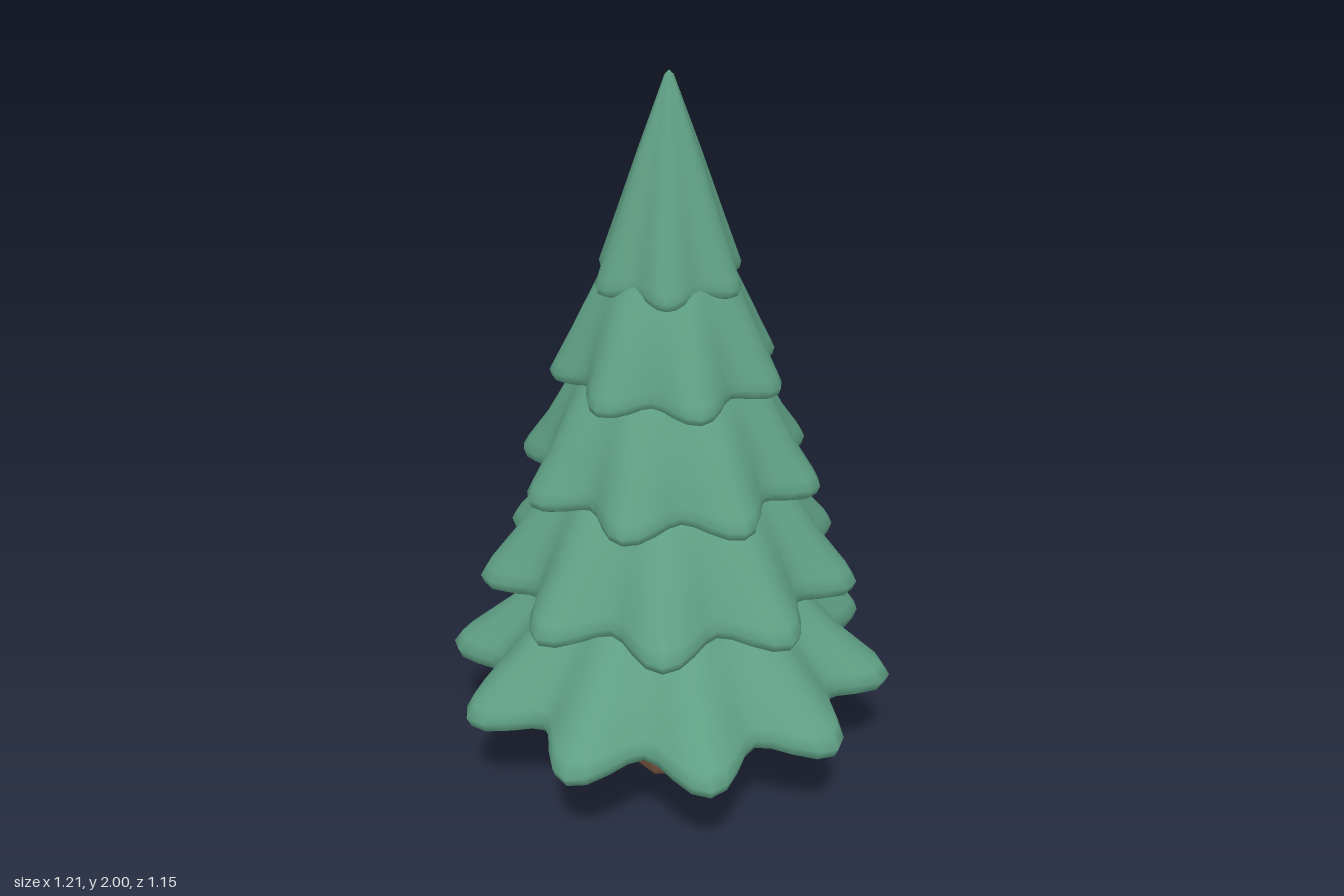
import * as THREE from 'three';
import { mergeVertices } from 'three/addons/utils/BufferGeometryUtils.js';

const needles = new THREE.MeshStandardMaterial({ color: 0x5fa085 });
needles.name = 'needleGreen';
const bark = new THREE.MeshStandardMaterial({ color: 0x8f6650 });
bark.name = 'barkBrown';

// Lobes, tip radius, hem height, and the cone above: [radius, height over hem, lobe strength]
const TIERS = [
  { lobes: 10, R: 0.603, y: 0.294, upper: [[0.45, 0.178, 0.6], [0.3, 0.335, 0.3], [0.14, 0.52, 0.15]] },
  { lobes: 9, R: 0.503, y: 0.609, upper: [[0.4, 0.165, 0.6], [0.3, 0.315, 0.3], [0.13, 0.5, 0.15]] },
  { lobes: 8, R: 0.403, y: 0.909, upper: [[0.33, 0.14, 0.6], [0.25, 0.285, 0.3], [0.11, 0.46, 0.15]] },
  { lobes: 7, R: 0.303, y: 1.195, upper: [[0.25, 0.13, 0.6], [0.178, 0.275, 0.3], [0.07, 0.43, 0.15]] },
  { lobes: 6, R: 0.2, y: 1.458, upper: [[0.15, 0.154, 0.65], [0.085, 0.334, 0.5], [0.012, 0.529, 0.4], [0, 0.542, 0]] },
];
const VALLEY = 0.215; // share of the radius lost between lobes
const LIFT = 0.026; // rise of the hem between lobes

// A skirt of branches: hollow underside, thick rounded lip, then the cone
function tierGeometry({ lobes, R, y, upper }) {
  const k = 0.4 + R;
  const profile = [
    [0.12 * R, 0.185 * k, 0],
    [0.36 * R, 0.105 * k, 0.1],
    [0.62 * R, 0.03 * k, 0.3],
    [0.78 * R, 0.012 * k, 0.75],
    [0.93 * R, 0, 1],
    [0.98 * R, 0.01 * k, 1],
    [R, 0.037 * k, 1],
    [0.96 * R, 0.072 * k, 0.95],
    ...upper,
  ];
  const geo = new THREE.LatheGeometry(
    profile.map(([r, h]) => new THREE.Vector2(r, y + h)), lobes * 8, Math.PI / 2);
  const pos = geo.attributes.position;
  for (let i = 0; i < pos.count; i++) {
    const x = pos.getX(i), z = pos.getZ(i);
    const w = profile[i % profile.length][2];
    const dip = w * (0.5 - 0.5 * Math.cos(lobes * Math.atan2(z, x)));
    const s = 1 - VALLEY * dip;
    pos.setXYZ(i, x * s, pos.getY(i) + LIFT * k * dip * w, z * s);
  }
  geo.deleteAttribute('uv');
  geo.deleteAttribute('normal');
  const merged = mergeVertices(geo, 1e-5);
  merged.computeVertexNormals();
  return merged;
}

export function createModel() {
  const tree = new THREE.Group();
  tree.name = 'pineTree';

  // Seven-sided trunk with a flared foot
  const outline = [[0, 0], [0.1, 0], [0.088, 0.05], [0.072, 0.13], [0.063, 0.2], [0.055, 0.33], [0.05, 0.56], [0, 0.56]];
  const trunk = new THREE.Mesh(
    new THREE.LatheGeometry(outline.map(([r, y]) => new THREE.Vector2(r, y)), 7), bark);
  trunk.name = 'trunk';
  tree.add(trunk);

  // Five branch tiers, from the ground up
  TIERS.forEach((tier, i) => {
    const mesh = new THREE.Mesh(tierGeometry(tier), needles);
    mesh.name = `branchTier${i + 1}`;
    tree.add(mesh);
  });
  return tree;
}
